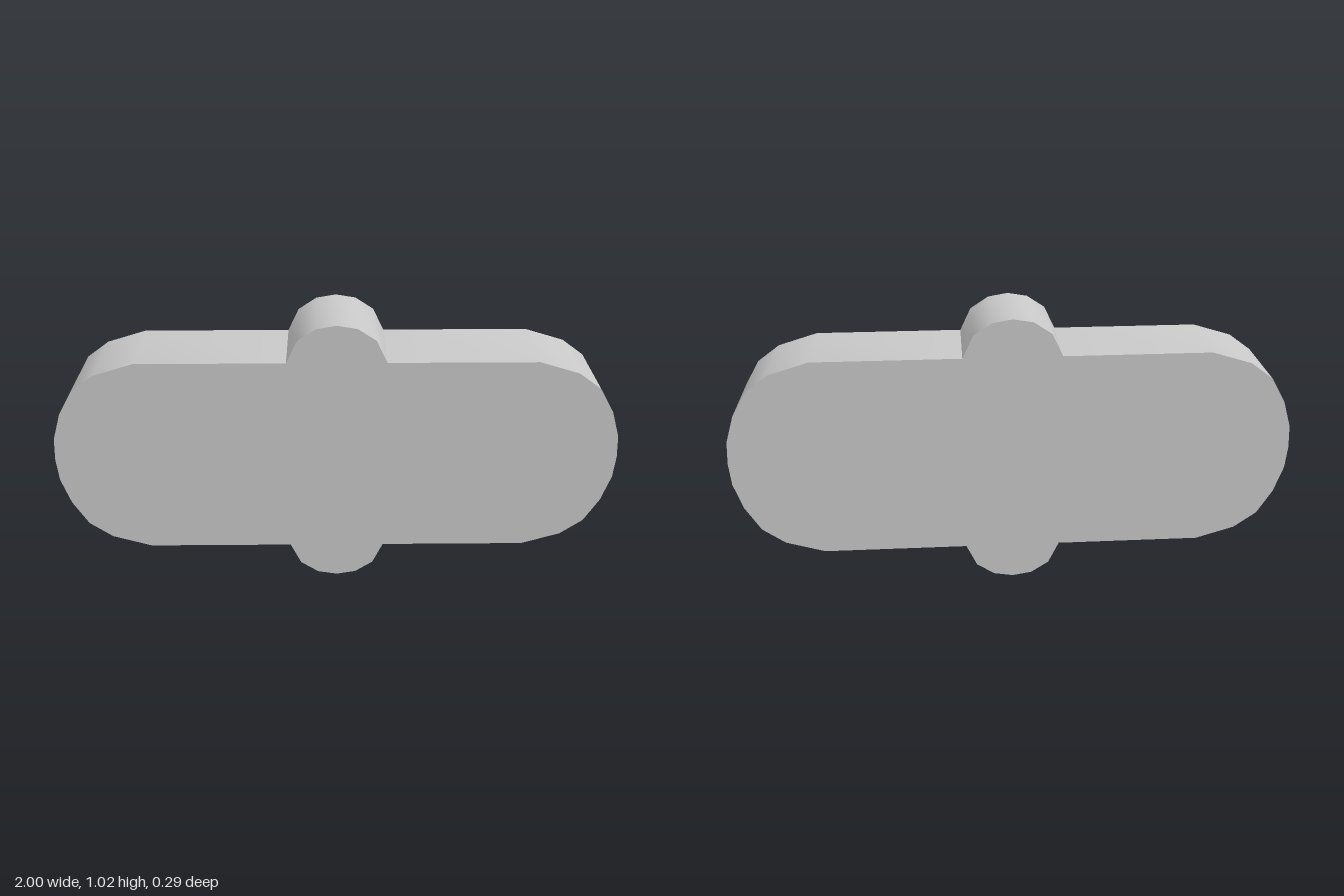
import * as THREE from 'three';
import { toCreasedNormals } from 'three/addons/utils/BufferGeometryUtils.js';

const CENTER_Y = 0.508;
const DEPTH = 0.29;

// One quarter of the outline, from the top of the knob to the end of the slab,
// measured from the centre.
const QUARTER = [
  [0, 0.508], [0.07, 0.496], [0.134, 0.453], [0.172, 0.372], // round knob
  [0.69, 0.372], [0.83, 0.329], [0.91, 0.27], [0.963, 0.18], [0.994, 0.083], [1, 0], // rounded end
];

// Mirrors the quarter into a closed clockwise outline.
function outline() {
  const back = QUARTER.slice(1, -1).reverse();
  return [
    ...QUARTER,
    ...back.map(([x, y]) => [x, -y]),
    ...QUARTER.slice(0, -1).map(([x, y]) => [-x, -y]),
    [-1, 0],
    ...back.map(([x, y]) => [-x, y]),
  ].map(([x, y]) => new THREE.Vector2(x, y));
}

export function createModel() {
  const group = new THREE.Group();
  group.name = 'roundedPlate';

  const grey = new THREE.MeshStandardMaterial({ color: 0xc8c8c8 });
  grey.name = 'light grey';

  // Slab with rounded ends and a knob above and below, smooth around the rim
  const extruded = new THREE.ExtrudeGeometry(new THREE.Shape(outline()), {
    depth: DEPTH, bevelEnabled: false, steps: 1,
  });
  extruded.translate(0, CENTER_Y, -DEPTH / 2);
  const plate = new THREE.Mesh(toCreasedNormals(extruded, 0.72), grey);
  plate.name = 'plate';
  group.add(plate);

  return group;
}
